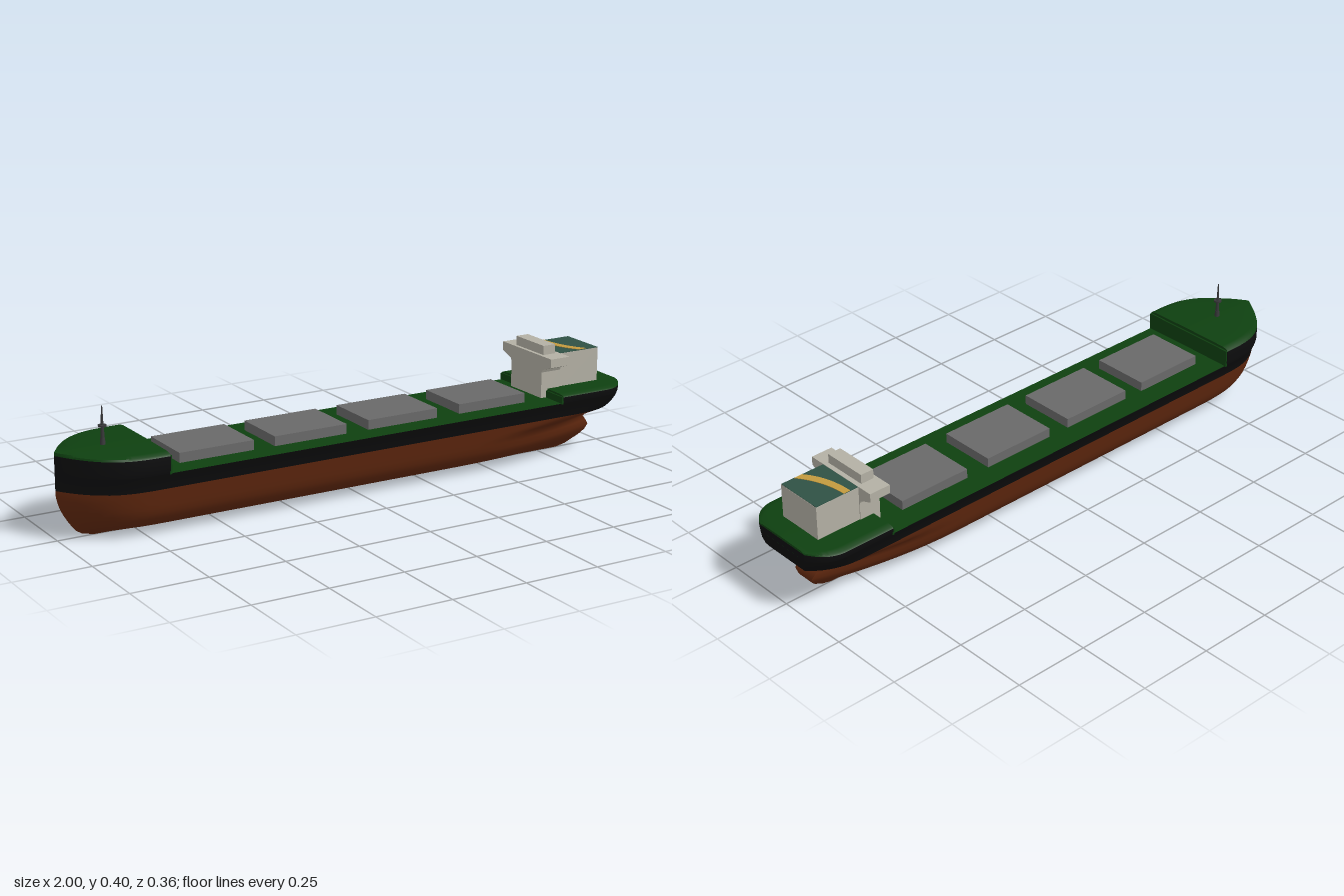
import * as THREE from 'three';
import { toCreasedNormals } from 'three/addons/utils/BufferGeometryUtils.js';

const mat = (name, color) => {
  const m = new THREE.MeshStandardMaterial({ color });
  m.name = name;
  return m;
};

// Waterline: height, half width, bow x, stern x, stern taper length, stern end fraction, taper power
const line = (y, w, xb, xs, len, end, p) => ({ y, w, xb, xs, len, end, p });
const lower = [
  line(0.003, 0.002, -0.88, 0.83, 0.4, 0.1, 2),
  line(0.012, 0.035, -0.92, 0.865, 0.5, 0.1, 2),
  line(0.025, 0.072, -0.94, 0.885, 0.5, 0.14, 2),
  line(0.04, 0.098, -0.952, 0.907, 0.5, 0.2, 2),
  line(0.06, 0.116, -0.966, 0.925, 0.5, 0.27, 2),
  line(0.08, 0.127, -0.978, 0.93, 0.5, 0.32, 2),
  line(0.098, 0.133, -0.987, 0.917, 0.5, 0.34, 2),
  line(0.115, 0.138, -0.993, 0.902, 0.45, 0.36, 2),
  line(0.13, 0.142, -0.997, 0.915, 0.4, 0.42, 2.2),
  line(0.145, 0.146, -1, 0.95, 0.3, 0.5, 2.5),
  line(0.16, 0.15, -1, 0.985, 0.2, 0.56, 3),
];
const upper = [
  lower[lower.length - 1],
  line(0.175, 0.154, -1, 0.995, 0.16, 0.58, 3),
  line(0.195, 0.163, -1, 1, 0.13, 0.6, 3),
  line(0.214, 0.173, -1, 1, 0.12, 0.6, 3),
];
const top = (y, w) => line(y, w, -1, 1, 0.12, 0.6, 3);

function halfWidth(r, x) {
  const u = Math.min(1, Math.max(0, (x - r.xb) / 0.28));
  const v = Math.min(1, Math.max(0, (r.xs - x) / r.len));
  return r.w * (1 - (1 - u) ** 3) * (r.end + (1 - r.end) * (1 - (1 - v) ** r.p));
}

// Closed plan outline, bow to stern along +z and back along -z
function ring(r, x0 = r.xb, x1 = r.xs, inset = 1, y = r.y, n = 44) {
  const pts = [];
  for (let i = 0; i <= n; i++) {
    const x = x0 + (x1 - x0) * (1 - Math.cos(Math.PI * i / n)) / 2;
    pts.push([x, y, halfWidth(r, x) * inset]);
  }
  return pts.concat(pts.slice().reverse().map(([x, h, z]) => [x, h, -z]));
}

function loft(rings, crease = 0.7) {
  const n = rings[0].length, index = [];
  for (let j = 0; j < rings.length - 1; j++) {
    for (let i = 0; i < n; i++) {
      const k = (i + 1) % n, a = j * n + i, b = j * n + k;
      index.push(a, b, b + n, a, b + n, a + n);
    }
  }
  const g = new THREE.BufferGeometry();
  g.setAttribute('position', new THREE.Float32BufferAttribute(rings.flat(2), 3));
  g.setIndex(index);
  return toCreasedNormals(g, crease);
}

export function createModel() {
  const ship = new THREE.Group();
  ship.name = 'cargoShip';
  const red = mat('antifoulingRed', 0x63290f);
  const black = mat('hullBlack', 0x0d0d0e);
  const green = mat('deckGreen', 0x0e4010);
  const grey = mat('hatchGrey', 0x696969);
  const cream = mat('houseCream', 0xb3b0a4);
  const teal = mat('roofTeal', 0x2f5145);
  const gold = mat('stripeGold', 0xc29a3e);
  const steel = mat('mastSteel', 0x38383a);

  const add = (name, geo, material, x = 0, y = 0, z = 0) => {
    const m = new THREE.Mesh(geo, material);
    m.name = name;
    m.position.set(x, y, z);
    ship.add(m);
    return m;
  };
  const box = (name, x0, x1, y0, y1, halfZ, material) =>
    add(name, new THREE.BoxGeometry(x1 - x0, y1 - y0, halfZ * 2), material, (x0 + x1) / 2, (y0 + y1) / 2);

  // Hull: red below the waterline, black above
  add('lowerHull', loft(lower.map(r => ring(r)), 1), red);
  add('upperHull', loft(upper.map(r => ring(r))), black);
  const deckLine = upper[upper.length - 1];
  add('mainDeck', loft([ring(deckLine), ring(deckLine, -1, 1, 0, 0.215)]), green);

  // Raised ends: black plating with a cambered green deck
  const raisedEnd = (name, x0, x1, yEdge, yTop) => {
    const mid = top(0.228, 0.178), edge = top(yEdge, 0.178);
    add(name + 'Side', loft([deckLine, mid, edge].map(r => ring(r, x0, x1))), black);
    add(name + 'Deck', loft([
      ring(edge, x0, x1),
      ring(edge, x0, x1, 0.97, yEdge + (yTop - yEdge) * 0.6),
      ring(edge, x0, x1, 0.85, yTop),
      ring(edge, x0, x1, 0, yTop + 0.001),
    ]), green);
  };
  raisedEnd('forecastle', -1, -0.705, 0.269, 0.279);
  raisedEnd('poop', 0.725, 1, 0.236, 0.243);
  box('forecastleBulkhead', -0.707, -0.7, 0.212, 0.27, 0.176, green);
  box('poopBulkhead', 0.72, 0.727, 0.212, 0.237, 0.176, green);

  // Cargo hatches
  for (const [x0, x1] of [[-0.637, -0.383], [-0.311, -0.054], [0.025, 0.283], [0.368, 0.625]]) {
    box('cargoHatch', x0, x1, 0.21, 0.246, 0.098, grey);
  }

  // Bridge tower with tapered wings
  const half = [[0.086, 0.212], [0.086, 0.302], [0.091, 0.312], [0.137, 0.329], [0.137, 0.358]];
  const outline = half.concat(half.slice().reverse().map(([z, y]) => [-z, y]));
  const tower = new THREE.ExtrudeGeometry(
    new THREE.Shape(outline.map(p => new THREE.Vector2(...p))), { depth: 0.074, bevelEnabled: false });
  tower.rotateY(Math.PI / 2);
  add('bridgeTower', tower, cream, 0.7);
  box('wheelhouse', 0.712, 0.758, 0.356, 0.389, 0.077, cream);

  // Accommodation block and painted roof
  box('accommodationBlock', 0.772, 0.93, 0.23, 0.356, 0.083, cream);
  box('roofPanel', 0.775, 0.929, 0.355, 0.358, 0.082, teal);
  const s = new THREE.Shape();
  s.moveTo(0.804, 0.082);
  s.quadraticCurveTo(0.806, -0.02, 0.855, -0.08);
  s.lineTo(0.884, -0.08);
  s.quadraticCurveTo(0.832, -0.01, 0.828, 0.082);
  const stripe = new THREE.ExtrudeGeometry(s, { depth: 0.002, bevelEnabled: false, curveSegments: 12 });
  stripe.rotateX(-Math.PI / 2);
  add('roofStripe', stripe, gold, 0, 0.3575);

  // Foremast
  const pole = (name, r0, r1, y0, y1) =>
    add(name, new THREE.CylinderGeometry(r1, r0, y1 - y0, 12), steel, -0.842, (y0 + y1) / 2);
  pole('mastFoot', 0.009, 0.007, 0.275, 0.3);
  pole('mastLower', 0.006, 0.005, 0.3, 0.345);
  pole('mastPlatform', 0.013, 0.013, 0.335, 0.341);
  pole('mastUpper', 0.004, 0.002, 0.345, 0.4);
  return ship;
}
